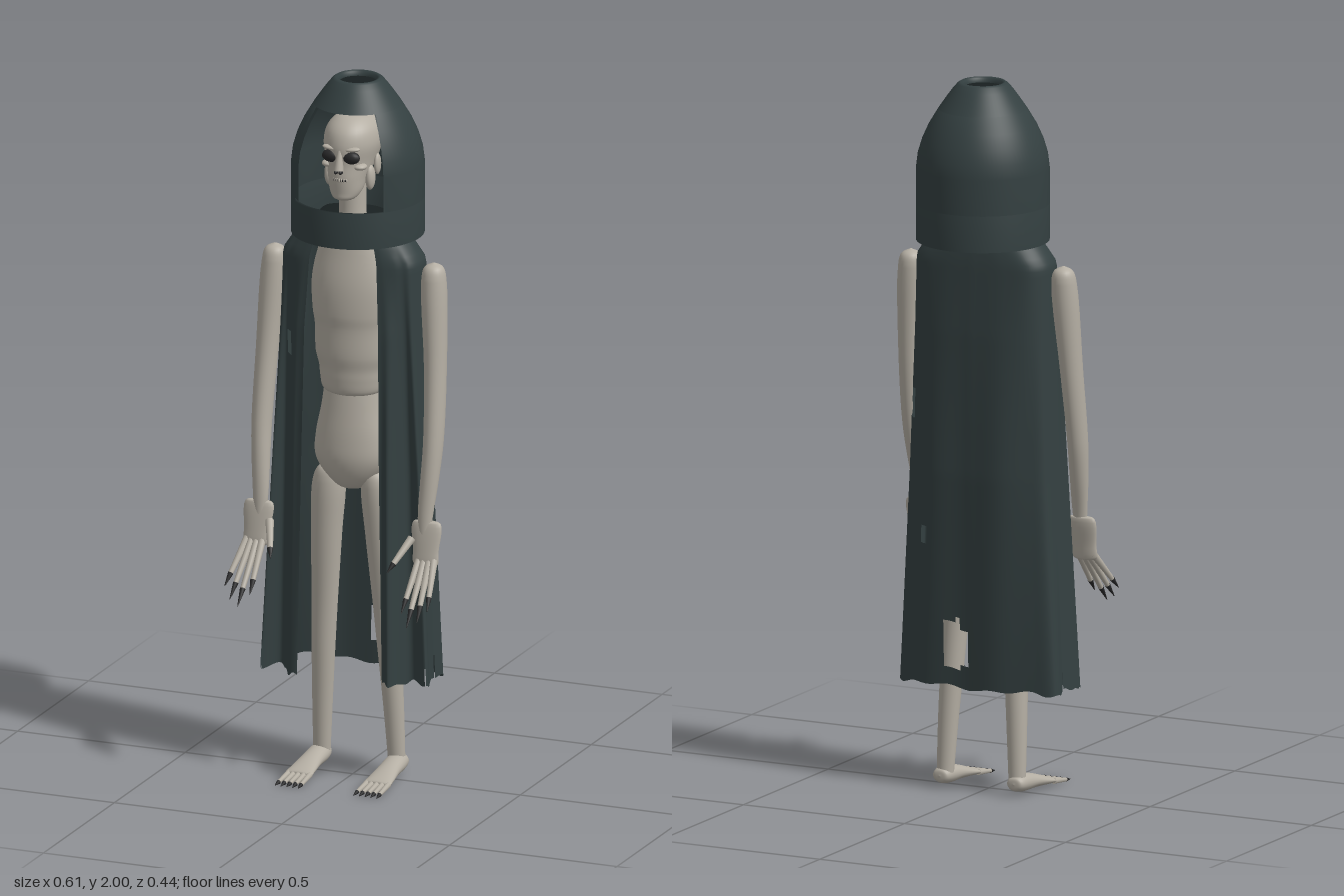
import * as THREE from 'three';

const mat = (name, color, side = THREE.FrontSide) => {
  const m = new THREE.MeshStandardMaterial({ color, side });
  m.name = name;
  return m;
};

export function createModel() {
  const bone = mat('bone', 0xb4aea3);
  const cloth = mat('darkCloth', 0x344041, THREE.DoubleSide);
  const dark = mat('blackNail', 0x282829);
  const root = new THREE.Group();
  root.name = 'hoodedSkeleton';
  const add = (name, geo, material, parent = root) => {
    const m = new THREE.Mesh(geo, material);
    m.name = name;
    parent.add(m);
    return m;
  };
  const group = (name) => {
    const g = new THREE.Group();
    g.name = name;
    root.add(g);
    return g;
  };

  // Smooth body from elliptical rings [y, rx, rz, cx, cz], bottom to top
  const loft = (rings, seg = 24, sub = 5) => {
    const size = new THREE.CatmullRomCurve3(rings.map((r) => new THREE.Vector3(r[1], r[0], r[2])));
    const mid = new THREE.CatmullRomCurve3(rings.map((r) => new THREE.Vector3(r[3] || 0, r[0], r[4] || 0)));
    const rows = (rings.length - 1) * sub, pos = [], idx = [];
    for (let j = 0; j <= rows; j++) {
      const a = size.getPoint(j / rows), c = mid.getPoint(j / rows);
      const rx = Math.max(a.x, 0.0005), rz = Math.max(a.z, 0.0005);
      for (let i = 0; i < seg; i++) {
        const t = (i / seg) * Math.PI * 2;
        pos.push(c.x + rx * Math.cos(t), a.y, c.z + rz * Math.sin(t));
        if (j === rows) continue;
        const p = j * seg + i, q = j * seg + ((i + 1) % seg);
        idx.push(p, p + seg, q, q, p + seg, q + seg);
      }
    }
    const g = new THREE.BufferGeometry();
    g.setAttribute('position', new THREE.Float32BufferAttribute(pos, 3));
    g.setIndex(idx);
    g.computeVertexNormals();
    return g;
  };

  // Tapered rod between two points
  const rod = (name, a, b, r0, r1, material, parent) => {
    const d = b.clone().sub(a);
    const m = add(name, new THREE.CylinderGeometry(r1, r0, d.length(), 10), material, parent);
    m.position.copy(a).addScaledVector(d, 0.5);
    m.quaternion.setFromUnitVectors(new THREE.Vector3(0, 1, 0), d.normalize());
  };
  // Finger or toe with a dark pointed nail
  const digit = (name, a, b, r, parent) => {
    const k = a.clone().lerp(b, 0.74);
    rod(name, a, k, r, r * 0.65, bone, parent);
    rod(name + 'Nail', k, b, r * 0.72, 0.001, dark, parent);
  };
  const blob = (name, x, y, z, sx, sy, sz, material, parent) => {
    const m = add(name, new THREE.SphereGeometry(1, 16, 12), material, parent);
    m.position.set(x, y, z);
    m.scale.set(sx, sy, sz);
    return m;
  };
  const V = (x, y, z) => new THREE.Vector3(x, y, z);

  // Hood: full rim and crown, with a window cut out of the front between them
  const hood = group('hood');
  hood.position.z = -0.037;
  const profile = [[0.184, 1.76], [0.179, 1.8], [0.167, 1.84], [0.149, 1.88], [0.122, 1.925]];
  const crown = [[0.122, 1.925], [0.1, 1.957], [0.083, 1.98], [0.07, 1.995], [0.062, 2], [0.053, 1.997], [0.052, 1.985]];
  const lathe = (name, pts, start = 0, len = Math.PI * 2) =>
    add(name, new THREE.LatheGeometry(pts.map((p) => new THREE.Vector2(p[0], p[1])), 64, start, len), cloth, hood);
  const shell = (pts) => [...pts, ...pts.slice().reverse().map((p) => [p[0] - 0.009, p[1]]), pts[0]];
  const cut = 0.81;
  lathe('hoodRim', shell([[0.184, 1.557], [0.184, 1.66]]));
  lathe('hoodSides', shell([[0.184, 1.66], ...profile]), cut, Math.PI * 2 - 2 * cut);
  lathe('hoodCrown', crown);

  // Skull
  const head = group('head');
  add('skull', loft([
    [1.672, 0.001, 0.001, 0, 0.058], [1.68, 0.03, 0.03, 0, 0.058], [1.7, 0.045, 0.046, 0, 0.046],
    [1.74, 0.055, 0.068, 0, 0.028], [1.78, 0.067, 0.09, 0, 0.004], [1.83, 0.078, 0.1, 0, -0.004],
    [1.87, 0.071, 0.091, 0, -0.008], [1.9, 0.044, 0.058, 0, -0.01], [1.912, 0.001, 0.001, 0, -0.01]], 32), bone, head);
  add('neck', loft([[1.53, 0.055, 0.05], [1.6, 0.04, 0.04], [1.72, 0.038, 0.038]]), bone, head);
  for (const s of [-1, 1]) {
    blob('eyeSocket', s * 0.03, 1.803, 0.083, 0.026, 0.018, 0.016, dark, head);
    blob('browRidge', s * 0.03, 1.826, 0.081, 0.026, 0.007, 0.014, bone, head).rotation.z = s * 0.1;
    blob('cheekbone', s * 0.046, 1.773, 0.058, 0.02, 0.01, 0.022, bone, head);
    blob('jawHinge', s * 0.061, 1.733, 0.02, 0.013, 0.036, 0.02, bone, head);
    blob('ear', s * 0.074, 1.768, 0, 0.009, 0.03, 0.016, bone, head);
    blob('nostril', s * 0.007, 1.763, 0.1, 0.005, 0.006, 0.011, dark, head);
  }
  rod('nose', V(0, 1.767, 0.1), V(0, 1.825, 0.09), 0.014, 0.006, bone, head);
  blob('mouth', 0, 1.738, 0.083, 0.026, 0.009, 0.014, dark, head);
  for (let i = -3; i <= 3; i++) blob('tooth', i * 0.0065, 1.738, 0.096 - i * i * 0.0007, 0.0026, 0.006, 0.003, bone, head);

  // Torso and pelvis
  add('chest', loft([
    [1.1, 0.06, 0.05], [1.115, 0.085, 0.064], [1.15, 0.093, 0.069], [1.18, 0.096, 0.071],
    [1.22, 0.106, 0.077], [1.3, 0.109, 0.078], [1.34, 0.115, 0.082], [1.42, 0.118, 0.08],
    [1.5, 0.103, 0.067], [1.57, 0.075, 0.052], [1.6, 0.04, 0.03]], 32), bone);
  add('pelvis', loft([
    [0.825, 0.001, 0.001], [0.835, 0.04, 0.035], [0.87, 0.08, 0.06], [0.92, 0.108, 0.073],
    [0.98, 0.106, 0.072], [1.06, 0.09, 0.064], [1.13, 0.08, 0.056]], 32), bone);

  for (const s of [-1, 1]) {
    // Leg, foot and toes
    const leg = group('leg');
    add('legBone', loft([
      [0.03, 0.024, 0.022, s * 0.112, -0.047], [0.2, 0.029, 0.028, s * 0.106, -0.038],
      [0.35, 0.033, 0.033, s * 0.099, -0.028], [0.5, 0.037, 0.035, s * 0.091, -0.019],
      [0.7, 0.044, 0.043, s * 0.081, -0.008], [0.84, 0.046, 0.046, s * 0.072, -0.004],
      [0.88, 0.032, 0.032, s * 0.068, 0], [0.89, 0.001, 0.001, s * 0.068, 0]]), bone, leg);
    const foot = loft([
      [-0.075, 0.001, 0.001, s * 0.115, -0.037], [-0.07, 0.022, 0.018, s * 0.115, -0.037],
      [-0.04, 0.03, 0.026, s * 0.115, -0.037], [0.02, 0.032, 0.021, s * 0.116, -0.031],
      [0.08, 0.038, 0.013, s * 0.117, -0.021], [0.105, 0.038, 0.009, s * 0.117, -0.017],
      [0.11, 0.001, 0.001, s * 0.117, -0.016]]);
    foot.rotateX(Math.PI / 2);
    add('foot', foot, bone, leg);
    for (let i = -2; i <= 2; i++)
      digit('toe', V(s * 0.117 + i * 0.0155, 0.016, 0.1), V(s * 0.117 + i * 0.0172, 0.004, 0.19), 0.0085, leg);

    // Arm, palm, fingers and thumb
    const arm = group('arm');
    add('armBone', loft([
      [0.74, 0.017, 0.013, s * 0.245, 0.075], [0.8, 0.022, 0.017, s * 0.246, 0.068],
      [0.9, 0.026, 0.026, s * 0.252, 0.052], [1, 0.028, 0.032, s * 0.256, 0.036],
      [1.2, 0.031, 0.035, s * 0.251, 0.01], [1.45, 0.035, 0.036, s * 0.238, -0.01],
      [1.485, 0.027, 0.027, s * 0.237, -0.012], [1.5, 0.001, 0.001, s * 0.237, -0.012]]), bone, arm);
    add('palm', loft([
      [0.655, 0.001, 0.001, s * 0.253, 0.085], [0.66, 0.035, 0.012, s * 0.253, 0.085],
      [0.7, 0.038, 0.014, s * 0.252, 0.08], [0.775, 0.041, 0.014, s * 0.25, 0.068],
      [0.78, 0.001, 0.001, s * 0.25, 0.068]]), bone, arm);
    [[0.278, 0.302, 0.56, 0.19], [0.264, 0.279, 0.53, 0.208], [0.249, 0.252, 0.515, 0.217], [0.234, 0.226, 0.545, 0.193]]
      .forEach(([x0, x1, y, z]) => digit('finger', V(s * x0, 0.675, 0.083), V(s * x1, y, z), 0.011, arm));
    digit('thumb', V(s * 0.212, 0.73, 0.085), V(s * 0.174, 0.65, 0.17), 0.012, arm);
  }

  // Robe: open-fronted folded sheet; each half section runs from mid back to front edge as [x, z]
  const sections = [
    [0.3, [0, -0.1], [0.1, -0.098], [0.19, -0.085], [0.245, -0.06], [0.237, -0.02], [0.242, 0.03], [0.246, 0.066], [0.2, 0.035], [0.172, 0.06], [0.147, 0.1], [0.125, 0.094]],
    [0.9, [0, -0.12], [0.1, -0.114], [0.17, -0.095], [0.213, -0.06], [0.218, -0.02], [0.218, 0.02], [0.218, 0.048], [0.19, 0.036], [0.166, 0.056], [0.14, 0.092], [0.115, 0.09]],
    [1.3, [0, -0.115], [0.1, -0.108], [0.165, -0.09], [0.2, -0.055], [0.207, -0.015], [0.205, 0.02], [0.195, 0.043], [0.178, 0.045], [0.16, 0.058], [0.135, 0.08], [0.11, 0.082]],
    [1.5, [0, -0.105], [0.1, -0.1], [0.168, -0.084], [0.198, -0.05], [0.205, -0.015], [0.198, 0.022], [0.185, 0.042], [0.168, 0.05], [0.15, 0.06], [0.12, 0.068], [0.1, 0.07]],
    [1.55, [0, -0.1], [0.07, -0.096], [0.13, -0.08], [0.162, -0.05], [0.172, -0.015], [0.166, 0.01], [0.155, 0.03], [0.14, 0.043], [0.123, 0.052], [0.102, 0.06], [0.088, 0.062]],
    [1.62, [0, -0.08], [0.04, -0.075], [0.07, -0.06], [0.09, -0.04], [0.095, -0.015], [0.093, 0.005], [0.09, 0.02], [0.085, 0.028], [0.08, 0.034], [0.075, 0.038], [0.07, 0.04]],
  ].map(([y, ...pts]) => ({ y, curve: new THREE.CatmullRomCurve3(pts.map(([x, z]) => V(x, 0, z))) }));
  const sheetPoint = (u, y) => {
    let k = 0;
    while (k < sections.length - 2 && y > sections[k + 1].y) k++;
    const lo = sections[k], hi = sections[k + 1];
    return lo.curve.getPoint(Math.abs(u)).lerp(hi.curve.getPoint(Math.abs(u)), (y - lo.y) / (hi.y - lo.y));
  };
  const U = 160, N = 80, pos = [], idx = [];
  for (let j = 0; j <= N; j++) {
    for (let i = 0; i <= U; i++) {
      const u = (i / U) * 2 - 1;
      const hem = 0.3 + 0.008 * Math.sin(i * 0.45) * Math.sin(i * 0.17);
      const y = hem + (1.62 - hem) * (j / N);
      const p = sheetPoint(u, y);
      const ripple = 0.004 * Math.sin(u * 30 + y) * Math.min(1, Math.max(0, (1.5 - y) * 2));
      pos.push(Math.sign(u) * p.x, y, p.z + ripple);
    }
  }
  // Worn holes and torn hem
  const torn = (x, y, z, i) =>
    (z < -0.03 && x > 0.01 && x < 0.085 && y > 0.345 && y < 0.48 - (x < 0.035 ? 0.035 : 0)) ||
    (x > 0.1 && z > -0.075 && z < -0.052 && y > 1.035 && y < 1.12) ||
    (z < -0.05 && x > 0.13 && x < 0.155 && y > 0.69 && y < 0.74) ||
    (x < -0.155 && x > -0.175 && z > 0 && y > 1.2 && y < 1.27) ||
    (y < 0.35 && [31, 32, 47, 112, 128].includes(i));
  for (let j = 0; j < N; j++) {
    for (let i = 0; i < U; i++) {
      const a = j * (U + 1) + i, b = a + U + 1;
      if (torn(pos[a * 3], pos[a * 3 + 1], pos[a * 3 + 2], i)) continue;
      idx.push(a, b, a + 1, a + 1, b, b + 1);
    }
  }
  const robe = new THREE.BufferGeometry();
  robe.setAttribute('position', new THREE.Float32BufferAttribute(pos, 3));
  robe.setIndex(idx);
  robe.computeVertexNormals();
  add('robe', robe, cloth);

  return root;
}
